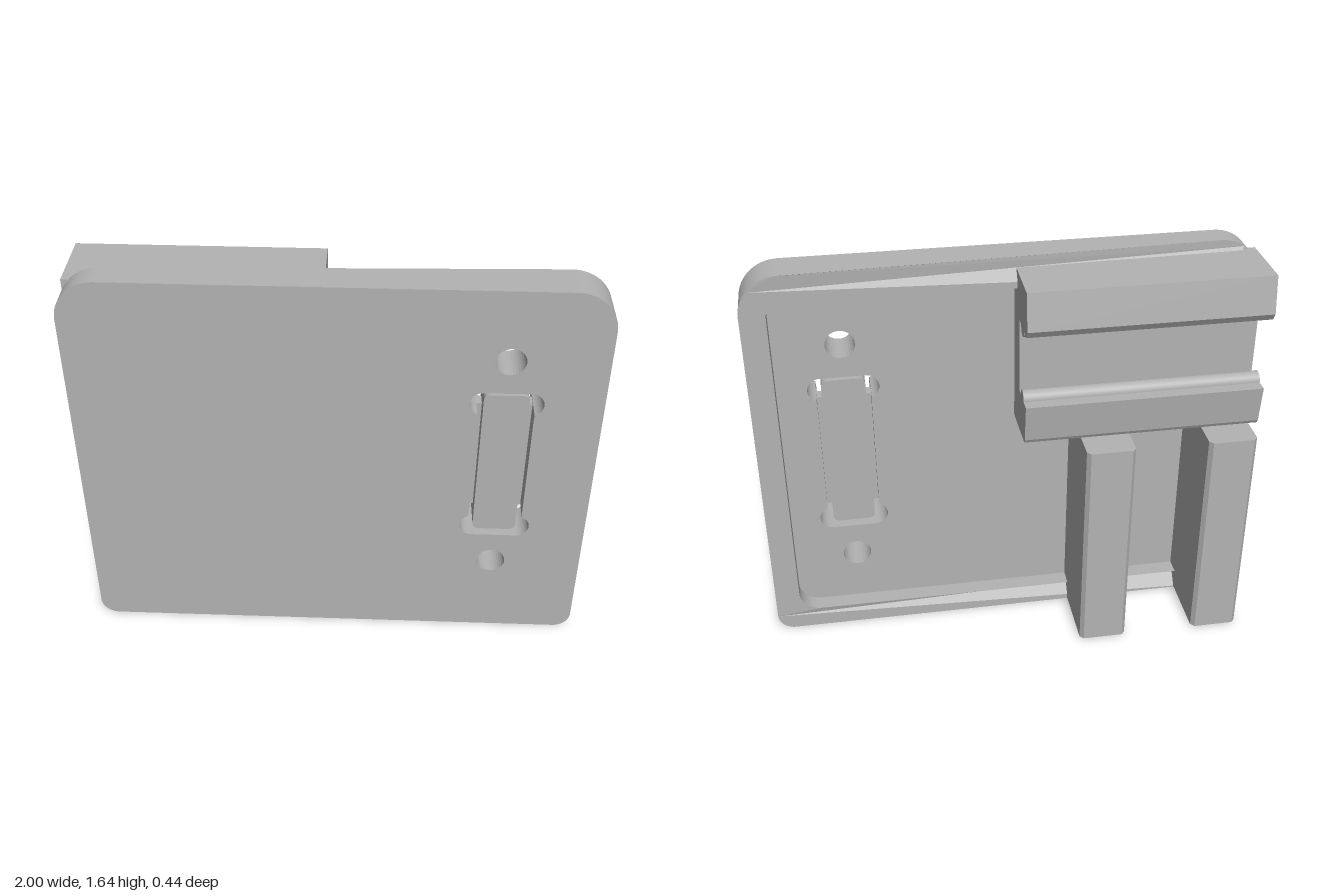
import * as THREE from 'three';

const grey = new THREE.MeshStandardMaterial({ color: 0xb3b3b3 });
grey.name = 'plain grey';

// Rectangle with its own radius for the top and bottom corners
function roundedRect(target, x0, y0, x1, y1, rTop, rBottom) {
  target.moveTo(x0 + rBottom, y0);
  target.lineTo(x1 - rBottom, y0);
  target.absarc(x1 - rBottom, y0 + rBottom, rBottom, -Math.PI / 2, 0, false);
  target.absarc(x1 - rTop, y1 - rTop, rTop, 0, Math.PI / 2, false);
  target.absarc(x0 + rTop, y1 - rTop, rTop, Math.PI / 2, Math.PI, false);
  target.absarc(x0 + rBottom, y0 + rBottom, rBottom, Math.PI, Math.PI * 1.5, false);
  return target;
}

function extrude(shape, depth) {
  return new THREE.ExtrudeGeometry(shape, { depth, bevelEnabled: false, curveSegments: 16 });
}

const SLOT_X = 0.64;

// Screw holes and the slot with widened, rounded ends
function addOpenings(shape) {
  for (const y of [0.37, 1.35]) {
    const hole = new THREE.Path();
    hole.absarc(SLOT_X, y, 0.057, 0, Math.PI * 2, true);
    shape.holes.push(hole);
  }
  const slot = new THREE.Path();
  const ear = 0.05, dx = 0.088, half = 0.105, low = 0.56, high = 1.16;
  slot.moveTo(SLOT_X - dx, low - ear);
  slot.lineTo(SLOT_X + dx, low - ear);
  slot.absarc(SLOT_X + dx, low, ear, -Math.PI / 2, Math.PI * 0.38, false);
  slot.lineTo(SLOT_X + half, low + 0.07);
  slot.lineTo(SLOT_X + half, high - 0.07);
  slot.absarc(SLOT_X + dx, high, ear, -Math.PI * 0.38, Math.PI / 2, false);
  slot.absarc(SLOT_X - dx, high, ear, Math.PI / 2, Math.PI * 1.38, false);
  slot.lineTo(SLOT_X - half, high - 0.07);
  slot.lineTo(SLOT_X - half, low + 0.07);
  slot.absarc(SLOT_X - dx, low, ear, Math.PI * 0.62, Math.PI * 1.5, false);
  shape.holes.push(slot);
  return shape;
}

export function createModel() {
  const group = new THREE.Group();
  const add = (name, geometry, x = 0, y = 0, z = 0) => {
    const mesh = new THREE.Mesh(geometry, grey);
    mesh.name = name;
    mesh.position.set(x, y, z);
    group.add(mesh);
    return mesh;
  };
  const outline = () => roundedRect(new THREE.Shape(), -1, 0, 1, 1.645, 0.16, 0.07);

  // Front face of the plate
  add('facePlate', extrude(addOpenings(outline()), 0.09), 0, 0, 0.13);

  // Raised rim around the rear pocket; its outer edge falls away along the top and one side
  const rimShape = outline();
  rimShape.holes.push(roundedRect(new THREE.Path(), -0.91, 0.09, 0.9, 1.53, 0.05, 0.09));
  const rim = extrude(rimShape, 0.07);
  const p = rim.attributes.position;
  for (let i = 0; i < p.count; i++) {
    const x = p.getX(i), y = p.getY(i);
    if (p.getZ(i) < 0.001 && (y > 1.6 || x < -0.95)) {
      p.setZ(i, 0.06 * THREE.MathUtils.clamp((0.84 - x) / 1.84, 0, 1));
    }
  }
  rim.computeVertexNormals();
  add('rearRim', rim, 0, 0, 0.06);

  // Rear pad carrying the holes and slot
  const pad = new THREE.Shape();
  pad.moveTo(0.49, 1.53);
  pad.lineTo(0.49, 0.37);
  pad.absarc(SLOT_X, 0.37, 0.15, Math.PI, Math.PI * 2, false);
  pad.lineTo(0.79, 1.53);
  add('rearPad', extrude(addOpenings(pad), 0.07), 0, 0, 0.06);

  // Bar in the slot, held by a web on each side
  const bar = roundedRect(new THREE.Shape(), 0.555, 0.53, 0.725, 1.19, 0.025, 0.025);
  add('slotBar', extrude(bar, 0.13), 0, 0, 0.075);
  for (const side of [-1, 1]) {
    add('barWeb', new THREE.BoxGeometry(0.03, 0.5, 0.05), SLOT_X + side * 0.095, 0.86, 0.12);
  }

  // Rail profile, drawn as (rearward distance, height)
  const rail = new THREE.Shape();
  rail.moveTo(-0.13, 0.94);
  rail.lineTo(-0.06, 0.94);
  rail.lineTo(0.11, 0.95);
  rail.lineTo(0.118, 0.965);
  rail.lineTo(0.137, 1.12);
  rail.lineTo(0.088, 1.12);
  rail.absarc(0.055, 1.12, 0.033, 0, Math.PI, false);
  rail.lineTo(-0.01, 1.12);
  rail.lineTo(-0.01, 1.42);
  rail.lineTo(0.022, 1.42);
  rail.absarc(0.055, 1.42, 0.033, Math.PI, Math.PI * 2, false);
  rail.lineTo(0.137, 1.42);
  rail.lineTo(0.156, 1.45);
  rail.lineTo(0.135, 1.6);
  rail.lineTo(-0.13, 1.6);
  add('clampRail', extrude(rail, 0.945).rotateY(Math.PI / 2), -0.983);

  // Two upright bars with chamfered rear corners, drawn as (x, rearward distance)
  for (const x of [-0.855, -0.365]) {
    const leg = new THREE.Shape();
    leg.moveTo(-0.098, -0.13);
    leg.lineTo(0.098, -0.13);
    leg.lineTo(0.098, 0.205);
    leg.lineTo(0.083, 0.222);
    leg.lineTo(-0.083, 0.222);
    leg.lineTo(-0.098, 0.205);
    add('uprightBar', extrude(leg, 0.935).rotateX(-Math.PI / 2), x, 0.005);
  }

  return group;
}
